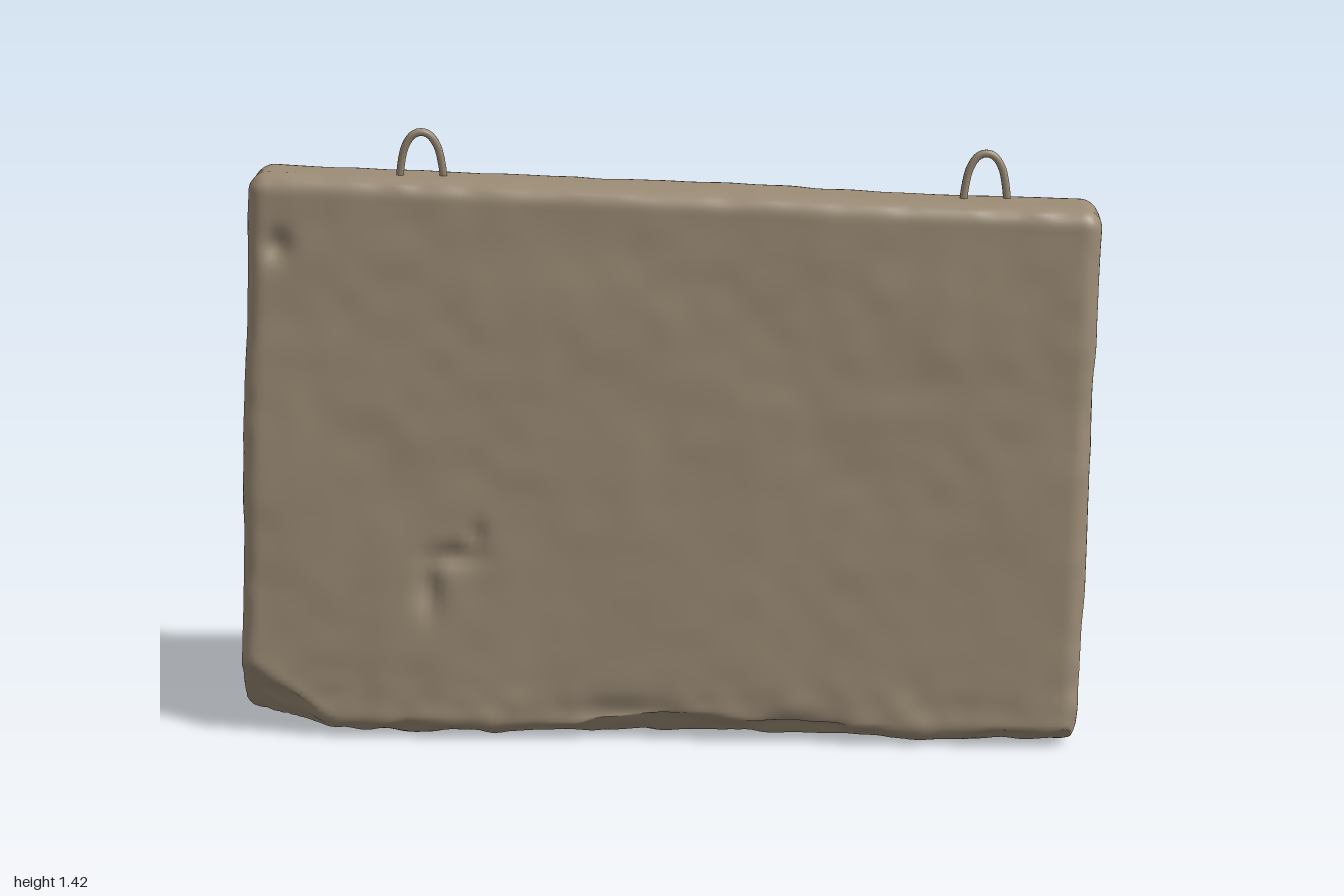
import * as THREE from 'three';
import { mergeVertices } from 'three/addons/utils/BufferGeometryUtils.js';

const concrete = new THREE.MeshStandardMaterial({ color: 0x9c8c76 });
concrete.name = 'concrete';

const { lerp, clamp, smoothstep } = THREE.MathUtils;

// Repeatable smooth value noise, -1 to 1
const hash = (x, y, z) => {
  const s = Math.sin(x * 127.1 + y * 311.7 + z * 74.7) * 43758.5453;
  return (s - Math.floor(s)) * 2 - 1;
};
function noise(x, y, z) {
  const i = Math.floor(x), j = Math.floor(y), k = Math.floor(z);
  const u = smoothstep(x - i, 0, 1), v = smoothstep(y - j, 0, 1), w = smoothstep(z - k, 0, 1);
  const row = (b, c) => lerp(hash(i, b, c), hash(i + 1, b, c), u);
  const slab = (c) => lerp(row(j, c), row(j + 1, c), v);
  return lerp(slab(k), slab(k + 1), w);
}

// Push a point back onto a plane if it lies outside it
function chip(p, normal, point) {
  const over = p.clone().sub(point).dot(normal);
  if (over > 0) p.addScaledVector(normal, -over);
}

// Dents: centre, reach in x, y, z and depth
const dents = [
  { at: [-0.48, 0.44, 0.24], reach: [0.06, 0.025, 0.1], depth: 0.018 },
  { at: [-0.54, 0.36, 0.25], reach: [0.025, 0.06, 0.1], depth: 0.02 },
  { at: [-0.43, 0.49, 0.24], reach: [0.02, 0.03, 0.1], depth: 0.014 },
  { at: [-0.88, 1.16, 0.19], reach: [0.03, 0.035, 0.1], depth: 0.02 },
  { at: [-0.1, 0.07, 0.27], reach: [0.13, 0.035, 0.1], depth: 0.015 },
  { at: [0.3, 0.04, 0.27], reach: [0.12, 0.03, 0.1], depth: 0.015 },
  { at: [0.98, 0.75, -0.11], reach: [0.05, 0.04, 0.04], depth: 0.015 },
  { at: [0.96, 0.15, -0.24], reach: [0.06, 0.05, 0.06], depth: 0.015 },
];

// Tapered wall with rounded edges, a sloping top and worn corners
function wallGeometry() {
  const r = 0.045;
  const half = new THREE.Vector3(1, 0.65, 0.28);
  let geo = new THREE.BoxGeometry(2, 1.3, 0.56, 130, 88, 36);
  geo.deleteAttribute('uv');
  geo.deleteAttribute('normal');
  geo = mergeVertices(geo);
  const pos = geo.attributes.position;
  const p = new THREE.Vector3(), inner = new THREE.Vector3(), dir = new THREE.Vector3();
  const leftChip = new THREE.Vector3(-0.45, -0.6, 0.66).normalize();
  const backChip = new THREE.Vector3(-0.75, -0.2, -0.63).normalize();

  for (let i = 0; i < pos.count; i++) {
    p.fromBufferAttribute(pos, i);
    // Spread grid lines closer together near the edges
    for (const a of ['x', 'y', 'z']) {
      const s = p[a] / half[a];
      p[a] = half[a] * s * (1.2 - 0.2 * s * s);
      inner[a] = clamp(p[a], r - half[a], half[a] - r);
    }
    dir.copy(p).sub(inner);
    if (dir.lengthSq() > 0) dir.normalize().multiplyScalar(r);

    const t = (inner.y + half.y - r) / (2 * (half.y - r));
    const sx = inner.x / (half.x - r), sz = inner.z / (half.z - r);
    const x = sx < 0 ? sx * (lerp(0.995, 0.95, t) - r) : sx * (lerp(0.975, 0.995, t) - r);
    const top = 1.288 - 0.037 * x - r;
    const z = lerp(0, 0.084, t) + sz * (lerp(0.275, 0.096, t) - r);
    p.set(x, lerp(0.008 + r, top, t), z).add(dir);

    // Ragged bevels along the bottom edges
    const wear = 0.035 + 0.015 * noise(p.x * 9, 3, 1) + 0.03 * Math.exp(-(((p.x - 0.1) / 0.3) ** 2));
    chip(p, new THREE.Vector3(0, -0.75, 0.66), new THREE.Vector3(0, wear, 0.272));
    chip(p, new THREE.Vector3(0, -0.75, -0.66), new THREE.Vector3(0, 0.04 + 0.015 * noise(p.x * 9, 8, 2), -0.274));
    // Broken lower corners
    chip(p, leftChip, new THREE.Vector3(-0.86, 0.1, 0.262));
    chip(p, backChip, new THREE.Vector3(-0.96, 0.1, -0.24));
    pos.setXYZ(i, p.x, p.y, p.z);
  }

  // Weathering and dents along the surface normal
  geo.computeVertexNormals();
  const n = new THREE.Vector3();
  for (let i = 0; i < pos.count; i++) {
    p.fromBufferAttribute(pos, i);
    n.fromBufferAttribute(geo.attributes.normal, i);
    const low = 1 - smoothstep(p.y, 0.03, 0.2);
    const edge = 1 - Math.max(Math.abs(n.x), Math.abs(n.y), Math.abs(n.z));
    let d = 0.004 * noise(p.x * 5, p.y * 5, p.z * 5) + 0.002 * noise(p.x * 14, p.y * 14, p.z * 14);
    d += (0.006 * low + 0.012 * edge) * noise(p.x * 20 + 7, p.y * 20, p.z * 20);
    for (const { at, reach, depth } of dents) {
      const q = ((p.x - at[0]) / reach[0]) ** 2 + ((p.y - at[1]) / reach[1]) ** 2 + ((p.z - at[2]) / reach[2]) ** 2;
      d -= depth * Math.exp(-q);
    }
    p.addScaledVector(n, d);
    pos.setXYZ(i, p.x, Math.max(p.y, 0), p.z);
  }
  geo.computeVertexNormals();
  return geo;
}

// Bent steel lifting loop
function liftingLoop(name, x, y, z, turn, lean) {
  const path = new THREE.CatmullRomCurve3(
    [[-0.052, -0.04], [-0.047, 0.02], [-0.036, 0.067], [-0.018, 0.093], [0, 0.099],
      [0.018, 0.093], [0.036, 0.067], [0.047, 0.02], [0.052, -0.04]]
      .map(([a, b]) => new THREE.Vector3(a, b, 0)));
  const loop = new THREE.Mesh(new THREE.TubeGeometry(path, 40, 0.009, 10), concrete);
  loop.name = name;
  loop.position.set(x, y, z);
  loop.rotation.set(lean, turn, 0, 'YXZ');
  return loop;
}

export function createModel() {
  const model = new THREE.Group();
  model.name = 'concreteBarrier';
  const wall = new THREE.Mesh(wallGeometry(), concrete);
  wall.name = 'wall';
  model.add(
    wall,
    liftingLoop('rightLiftingLoop', -0.557, 1.312, 0.085, 0.13, 0.12),
    liftingLoop('leftLiftingLoop', 0.735, 1.265, 0.06, 0.06, 0),
  );
  return model;
}
